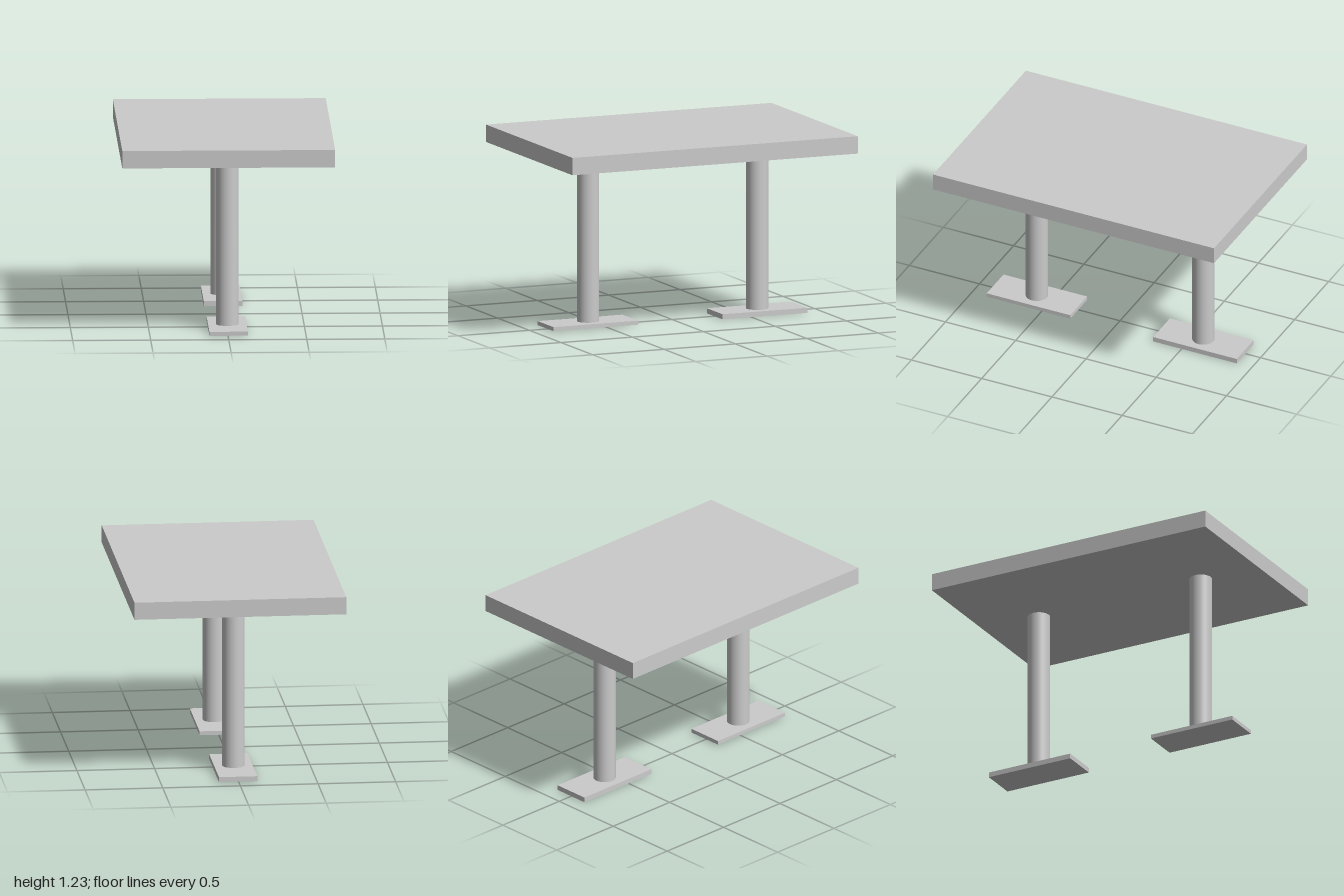
import * as THREE from 'three';

const material = new THREE.MeshStandardMaterial({ color: 0xcccccc });

function addPart(parent, name, geometry, x, y, z) {
  const mesh = new THREE.Mesh(geometry, material);
  mesh.name = name;
  mesh.position.set(x, y, z);
  parent.add(mesh);
}

// Round post standing on a flat rectangular foot plate
function createLeg(name, z, footBottom) {
  const leg = new THREE.Group();
  leg.name = name;
  leg.position.set(0.003, 0, z);
  const footTop = 0.033, postTop = 1.116;
  const footHeight = footTop - footBottom;
  addPart(leg, 'footPlate', new THREE.BoxGeometry(0.247, footHeight, 0.595), 0, footBottom + footHeight / 2, 0);
  addPart(leg, 'post', new THREE.CylinderGeometry(0.072, 0.072, postTop - footTop, 48), 0, (postTop + footTop) / 2, 0);
  return leg;
}

export function createModel() {
  const table = new THREE.Group();
  table.name = 'table';

  // Thick slab top
  addPart(table, 'tableTop', new THREE.BoxGeometry(1.364, 0.113, 2), 0, 1.1725, 0);

  // Two pedestal legs; the front foot plate is slightly thinner
  table.add(createLeg('frontLeg', 0.59, 0.007));
  table.add(createLeg('backLeg', -0.595, 0));

  return table;
}
